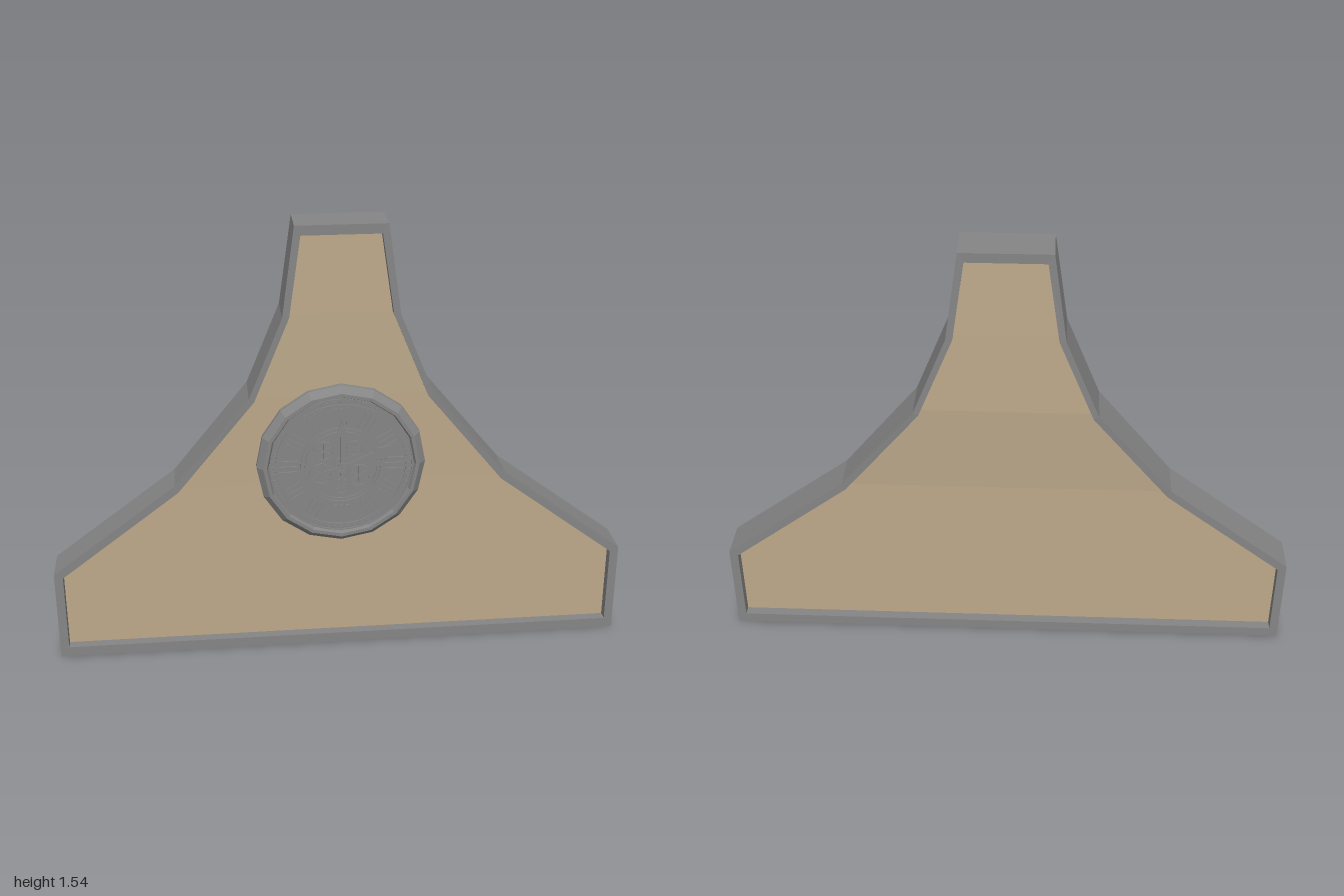
import * as THREE from 'three';

const grey = new THREE.MeshStandardMaterial({ color: 0x858585, side: THREE.DoubleSide, flatShading: true });
grey.name = 'stone grey';
const tan = new THREE.MeshStandardMaterial({ color: 0xbca88a, side: THREE.DoubleSide, flatShading: true });
tan.name = 'tan panel';

// Right half of the gable outline from the base up, with the depths at each level
const OUTER = [[1, 0], [1, 0.33], [0.57, 0.65], [0.31, 0.96], [0.195, 1.24], [0.152, 1.545]];
const INNER = [[0.97, 0.036], [0.97, 0.315], [0.558, 0.625], [0.292, 0.95], [0.172, 1.24], [0.132, 1.512]];
const FRONT = [0.073, 0.073, 0.073, 0.08, 0.082, 0.077];
const BACK = [-0.068, -0.068, -0.068, -0.085, -0.079, -0.068];
const RECESS = 0.035;

// Whole outline, anticlockwise from the lower right corner
function loop(half, depths, shift = 0) {
  const right = half.map(([x, y], i) => [x, y, depths[i] + shift]);
  const left = right.map(([x, y, z]) => [-x, y, z]).reverse();
  return [...right, ...left];
}

// Quads joining two rows of points
function strip(a, b, closed) {
  const pos = [];
  const n = a.length;
  for (let i = 0; i < (closed ? n : n - 1); i++) {
    const j = (i + 1) % n;
    pos.push(...a[i], ...a[j], ...b[j], ...a[i], ...b[j], ...b[i]);
  }
  const g = new THREE.BufferGeometry();
  g.setAttribute('position', new THREE.Float32BufferAttribute(pos, 3));
  g.computeVertexNormals();
  return g;
}

function add(parent, name, geometry, material = grey) {
  const mesh = new THREE.Mesh(geometry, material);
  mesh.name = name;
  parent.add(mesh);
  return mesh;
}

function buildGable() {
  const g = new THREE.Group();
  g.name = 'gable';
  const of = loop(OUTER, FRONT), ob = loop(OUTER, BACK);
  const inF = loop(INNER, FRONT), inB = loop(INNER, BACK);
  const pf = loop(INNER, FRONT, -RECESS), pb = loop(INNER, BACK, RECESS);

  // Hollow frame, open underneath
  add(g, 'outerWall', strip(ob, of, false));
  add(g, 'frontRim', strip(of, inF, true));
  add(g, 'frontLip', strip(inF, pf, true));
  add(g, 'backRim', strip(inB, ob, true));
  add(g, 'backLip', strip(pb, inB, true));

  // Recessed panels follow the bulge of the frame
  const n = INNER.length;
  const side = (p, right) => (right ? p.slice(0, n) : p.slice(n).reverse());
  add(g, 'frontPanel', strip(side(pf, true), side(pf, false), false), tan);
  add(g, 'backPanel', strip(side(pb, false), side(pb, true), false), tan);
  return g;
}

// Flat ring raised off the dial
function raisedRing(outer, inner, depth, sides = 32) {
  const s = new THREE.Shape().absarc(0, 0, outer, 0, Math.PI * 2);
  s.holes.push(new THREE.Path().absarc(0, 0, inner, 0, Math.PI * 2, true));
  return new THREE.ExtrudeGeometry(s, { depth, bevelEnabled: false, curveSegments: sides });
}

// Slim hand with a spear tip and a short tail
function handGeometry(length, width) {
  const s = new THREE.Shape();
  const half = [[width, -0.05], [width * 0.6, 0], [width * 0.6, length * 0.65], [width * 2.2, length * 0.75]];
  s.moveTo(0, -0.06);
  half.forEach(([x, y]) => s.lineTo(x, y));
  s.lineTo(0, length);
  [...half].reverse().forEach(([x, y]) => s.lineTo(-x, y));
  return new THREE.ExtrudeGeometry(s, { depth: 0.004, bevelEnabled: false });
}

function buildClock() {
  const clock = new THREE.Group();
  clock.name = 'clock';
  clock.position.y = 0.702;

  // Faceted bezel and sunken dial
  const profile = [[0.29, 0.036], [0.29, 0.062], [0.268, 0.086], [0.256, 0.086], [0.25, 0.072], [0, 0.072]];
  const body = new THREE.LatheGeometry(profile.map(([r, z]) => new THREE.Vector2(r, z)), 16);
  body.rotateX(Math.PI / 2);
  add(clock, 'bezelAndDial', body);

  // Rings of the dial
  [[0.246, 0.242], [0.226, 0.221], [0.14, 0.134], [0.126, 0.122]].forEach(([o, i]) => {
    add(clock, 'dialRing', raisedRing(o, i, 0.006)).position.z = 0.071;
  });

  // Minute studs
  const stud = new THREE.BoxGeometry(0.006, 0.006, 0.006);
  for (let i = 0; i < 60; i++) {
    const a = (i / 60) * Math.PI * 2;
    const m = add(clock, 'minuteStud', stud);
    m.position.set(Math.sin(a) * 0.234, Math.cos(a) * 0.234, 0.074);
    m.rotation.z = -a;
  }

  // Hour marks, each a cluster of radial bars
  const bar = new THREE.BoxGeometry(0.008, 0.062, 0.006);
  for (let h = 0; h < 12; h++) {
    const mark = new THREE.Group();
    mark.name = 'hourMark';
    mark.rotation.z = (-h / 12) * Math.PI * 2;
    [-0.02, 0, 0.02].forEach((x) => add(mark, 'hourBar', bar).position.set(x, 0.181, 0.074));
    clock.add(mark);
  }

  // Open gearwork in the middle
  const gears = [[-0.06, 0.055, 0.036], [0.045, 0.06, 0.03], [-0.07, -0.03, 0.04], [0.06, -0.04, 0.042],
    [0, -0.08, 0.03], [0, 0, 0.028]];
  gears.forEach(([x, y, r]) => {
    const gear = new THREE.Group();
    gear.name = 'gear';
    gear.position.set(x, y, 0.071);
    add(gear, 'gearRim', raisedRing(r, r - 0.007, 0.006, 12));
    for (let k = 0; k < 3; k++) {
      const spoke = add(gear, 'gearSpoke', new THREE.BoxGeometry(0.005, 2 * r - 0.008, 0.004));
      spoke.position.z = 0.003;
      spoke.rotation.z = (k * Math.PI) / 3;
    }
    clock.add(gear);
  });

  // Hands and hub
  add(clock, 'hourHand', handGeometry(0.17, 0.006)).position.z = 0.078;
  const minute = add(clock, 'minuteHand', handGeometry(0.185, 0.005));
  minute.position.z = 0.081;
  minute.rotation.z = -1.17;
  const hub = add(clock, 'handHub', new THREE.CylinderGeometry(0.012, 0.012, 0.012, 12));
  hub.rotation.x = Math.PI / 2;
  hub.position.z = 0.08;
  return clock;
}

export function createModel() {
  const model = new THREE.Group();
  model.name = 'clockGable';
  model.add(buildGable(), buildClock());
  return model;
}
